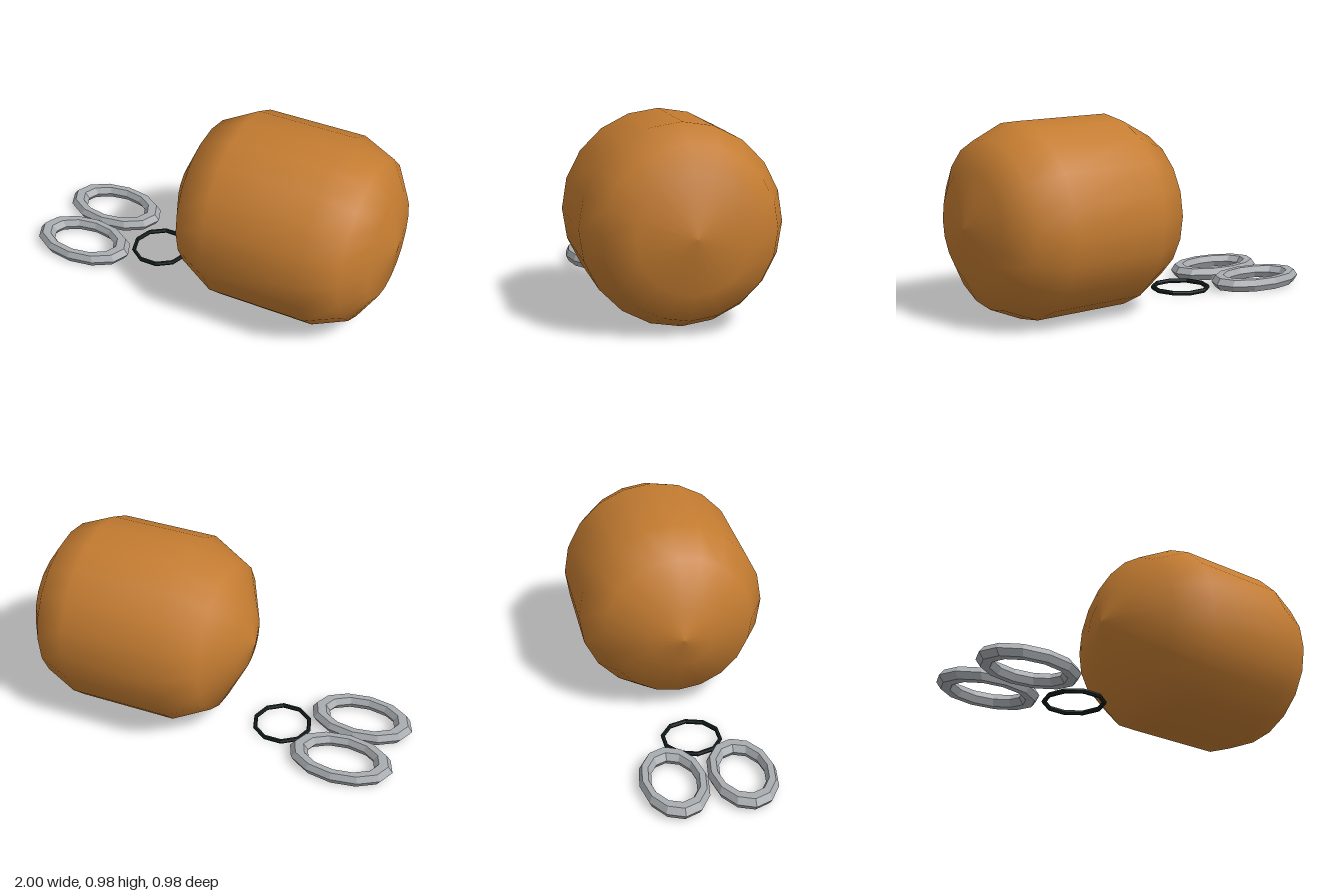
import * as THREE from 'three';

const wood = new THREE.MeshStandardMaterial({ color: 0xc47c31 });
wood.name = 'warm brown';
const steel = new THREE.MeshStandardMaterial({ color: 0xa9adb1, flatShading: true });
steel.name = 'light steel';
const rubber = new THREE.MeshStandardMaterial({ color: 0x15201f, flatShading: true });
rubber.name = 'dark rubber';

// A low-poly torus lying flat, scaled to the wanted half-sizes
function flatRing(name, material, { inner, outer, sides, tubeSides, halfHeight, squash = 1 }) {
  const tube = (outer - inner) / 2;
  const geometry = new THREE.TorusGeometry((outer + inner) / 2, tube, tubeSides, sides);
  geometry.rotateX(-Math.PI / 2);
  geometry.computeBoundingBox();
  geometry.scale(1, halfHeight / geometry.boundingBox.max.y, squash);
  const mesh = new THREE.Mesh(geometry, material);
  mesh.name = name;
  return mesh;
}

export function createModel() {
  const model = new THREE.Group();
  model.name = 'barrelAndRings';

  // Rounded barrel: radius against position along x
  const profile = [
    [0, -0.18], [0.165, -0.135], [0.39, -0.025], [0.489, 0.165],
    [0.489, 0.685], [0.415, 0.86], [0.272, 0.952], [0, 1],
  ].map(([r, x]) => new THREE.Vector2(r, x));
  const barrel = new THREE.Mesh(new THREE.LatheGeometry(profile, 20), wood);
  barrel.name = 'barrelBody';
  barrel.rotation.z = -Math.PI / 2;
  barrel.position.y = 0.494;
  model.add(barrel);

  // Two oval steel rings side by side
  for (const side of [-1, 1]) {
    const ring = flatRing(side < 0 ? 'backOvalRing' : 'frontOvalRing', steel,
      { inner: 0.178, outer: 0.276, sides: 12, tubeSides: 6, halfHeight: 0.032, squash: 0.62 });
    ring.position.set(-0.724, 0.038, side * 0.171 - 0.002);
    model.add(ring);
  }

  // Thin dark ring linking them to the barrel
  const link = flatRing('thinRing', rubber,
    { inner: 0.137, outer: 0.159, sides: 10, tubeSides: 6, halfHeight: 0.011 });
  link.position.set(-0.339, 0.012, 0);
  model.add(link);

  return model;
}
